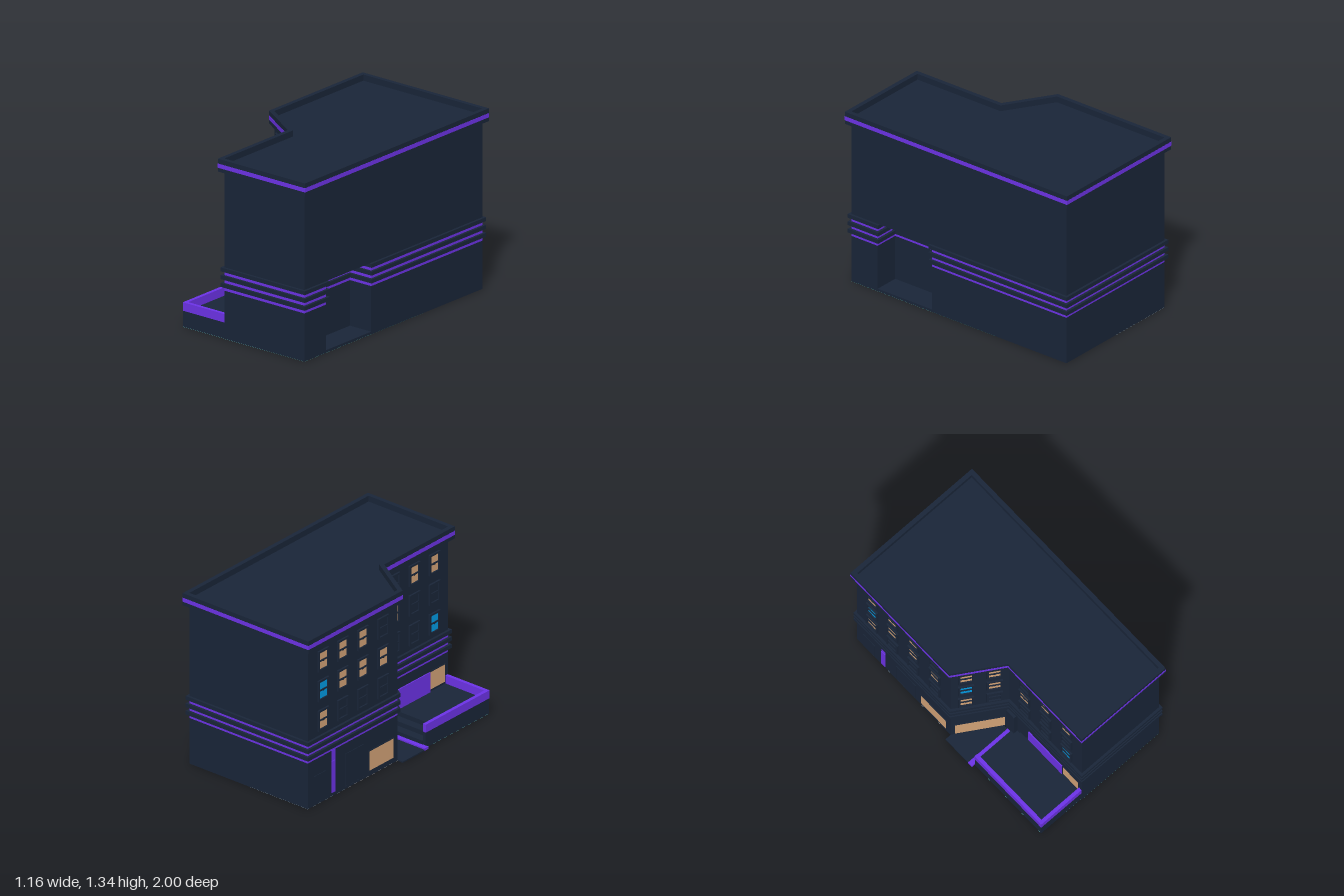
import * as THREE from 'three';

const flat = (name, color) => Object.assign(new THREE.MeshStandardMaterial({ color }), { name });
const M = {
  wall: flat('slate wall', 0x192538),
  purple: flat('purple trim', 0x6c32e6),
  lit: flat('lit window', 0xd2a276),
  blue: flat('blue window', 0x009ae2),
  teal: flat('teal underside', 0x6de8e6),
  moss: flat('grey green underside', 0x4faa9e),
  green: flat('dark green underside', 0x246260),
  stone: flat('pale grey underside', 0xf0e9e3),
  slate: flat('blue grey underside', 0x99b4c3),
};

// Plan outlines as [x, z]; the front right corner is notched by a slanted wall
const NOTCH = [[-0.177, 0.965], [-0.177, 0.22], [-0.53, 0]];
const UPPER = [[-0.53, -0.965], [0.547, -0.965], [0.547, 0.965], ...NOTCH];
const LOWER = [[-0.53, -0.965], [0.547, -0.965], [0.547, 0.24], [0.355, 0.24],
  [0.355, 0.73], [0.547, 0.73], [0.547, 0.965], ...NOTCH];
const BASE = 0.001; // thickness of the coloured underside

// Push every side of an outline outward by d
function offset(poly, d) {
  const n = poly.length;
  const normal = (s, e) => {
    const l = Math.hypot(e[0] - s[0], e[1] - s[1]);
    return [(e[1] - s[1]) / l, -(e[0] - s[0]) / l];
  };
  return poly.map((p, i) => {
    const n1 = normal(poly[(i + n - 1) % n], p), n2 = normal(p, poly[(i + 1) % n]);
    const k = d / (1 + n1[0] * n2[0] + n1[1] * n2[1]);
    return [p[0] + (n1[0] + n2[0]) * k, p[1] + (n1[1] + n2[1]) * k];
  });
}

function mesh(parent, name, geometry, material) {
  const m = new THREE.Mesh(geometry, material);
  m.name = name;
  parent.add(m);
  return m;
}

// Vertical prism from a plan outline, with an optional hole
function prism(parent, name, material, poly, y0, y1, hole) {
  const pts = (p) => p.map(([x, z]) => new THREE.Vector2(x, -z));
  const shape = new THREE.Shape(pts(poly));
  if (hole) shape.holes.push(new THREE.Path(pts(hole).reverse()));
  const g = new THREE.ExtrudeGeometry(shape, { depth: y1 - y0, bevelEnabled: false });
  g.rotateX(-Math.PI / 2).translate(0, y0, 0);
  return mesh(parent, name, g, material);
}

// Box given by its limits
function box(parent, name, material, x0, x1, y0, y1, z0, z1) {
  const m = mesh(parent, name, new THREE.BoxGeometry(x1 - x0, y1 - y0, z1 - z0), material);
  m.position.set((x0 + x1) / 2, (y0 + y1) / 2, (z0 + z1) / 2);
  return m;
}

// Framed opening facing local +z, centred on its origin
function framed(parent, name, w, h, border, depth, glass, sash) {
  const g = new THREE.Group();
  g.name = name;
  const a = w / 2 - border, b = h / 2 - border;
  const rect = (P, u, v) => new P([[-u, -v], [u, -v], [u, v], [-u, v]].map((p) => new THREE.Vector2(...p)));
  const shape = rect(THREE.Shape, w / 2, h / 2);
  shape.holes.push(rect(THREE.Path, a, b));
  mesh(g, 'frame', new THREE.ExtrudeGeometry(shape, { depth, bevelEnabled: false }), M.wall);
  box(g, 'pane', glass, -a, a, -b, b, 0, 0.003);
  if (sash) {
    box(g, 'sashBar', M.wall, -a, a, -0.005, 0.005, 0.002, 0.011);
    box(g, 'sashLatch', M.wall, -0.008, 0.008, -0.01, -0.005, 0.002, 0.011);
  }
  parent.add(g);
  return g;
}

export function createModel() {
  const root = new THREE.Group();
  root.name = 'building';

  // Ground floor and main block
  prism(root, 'groundFloor', M.wall, LOWER, BASE, 0.357);
  prism(root, 'upperFloors', M.wall, UPPER, 0.53, 1.29);
  box(root, 'recessFloor', M.wall, 0.35, 0.547, BASE, 0.02, 0.235, 0.735);

  // Alternating purple strips and projecting ledges
  const step = (0.53 - 0.357) / 6;
  for (let i = 0; i < 6; i++) {
    const y = 0.357 + i * step;
    if (i % 2) prism(root, 'ledge', M.wall, offset(LOWER, 0.019), y, y + step);
    else prism(root, 'purpleStrip', M.purple, LOWER, y, y + step);
  }

  // Cornice rising above the roof as a parapet, striped on the outside only
  const eave = offset(UPPER, 0.033);
  prism(root, 'cornice', M.wall, eave, 1.24, 1.335, UPPER);
  prism(root, 'corniceStripe', M.purple, offset(UPPER, 0.0345), 1.269, 1.3, eave);

  // Upper windows: rows from top to bottom, L lit, B blue, D dark
  const glass = { L: M.lit, B: M.blue, D: M.wall };
  const rowY = [1.112, 0.881, 0.648];
  const side = -Math.PI / 2, slant = Math.atan2(-0.22, 0.353);
  const onSlant = (x) => [x, 0.22 * (x + 0.53) / 0.353];
  const walls = [
    { turn: slant, at: [onSlant(-0.439), onSlant(-0.267)], rows: ['LL', 'BL', 'LD'] },
    { turn: side, at: [-0.805, -0.595, -0.38, -0.16].map((z) => [-0.53, z]), rows: ['LLLD', 'BLLL', 'LDDD'] },
    { turn: side, at: [0.38, 0.595, 0.81].map((z) => [-0.177, z]), rows: ['DLL', 'LDD', 'DDB'] },
  ];
  for (const { turn, at, rows } of walls) {
    rows.forEach((row, r) => at.forEach(([x, z], c) => {
      const w = framed(root, 'window', 0.114, 0.16, 0.0145, 0.014, glass[row[c]], true);
      w.position.set(x, rowY[r], z);
      w.rotation.y = turn;
    }));
  }

  // Street level openings: [name, x, y, z, width, height, turn, pane]
  const mid = onSlant(-0.355);
  for (const [name, x, y, z, w, h, turn, pane] of [
    ['shopWindow', -0.53, 0.118, -0.175, 0.27, 0.165, side, M.lit],
    ['door', -0.53, 0.145, -0.46, 0.2, 0.26, side, M.wall],
    ['serviceDoor', -0.53, 0.12, -0.84, 0.12, 0.22, side, M.wall],
    ['slantWindow', mid[0], 0.108, mid[1], 0.37, 0.18, slant, M.lit],
    ['terraceWindow', -0.177, 0.205, 0.85, 0.17, 0.15, side, M.lit],
  ]) {
    const o = framed(root, name, w, h, 0.007, 0.004, pane, false);
    o.position.set(x, y, z);
    o.rotation.y = turn;
  }
  box(root, 'purplePost', M.purple, -0.537, -0.53, 0.03, 0.277, -0.712, -0.672);
  box(root, 'purplePostTop', M.purple, -0.533, -0.53, 0.277, 0.357, -0.712, -0.672);
  box(root, 'purplePanel', M.purple, -0.185, -0.177, 0.12, 0.275, 0.42, 0.765);
  box(root, 'cornerPilaster', M.wall, -0.21, -0.177, 0.01, 0.357, 0.22, 0.3);

  // Raised terrace with steps and purple parapet
  box(root, 'terraceDeck', M.wall, -0.53, -0.177, BASE, 0.12, 0.4, 0.935);
  box(root, 'upperStep', M.wall, -0.53, -0.177, BASE, 0.085, 0.335, 0.4);
  box(root, 'lowerStep', M.wall, -0.53, -0.177, BASE, 0.05, 0.27, 0.335);
  box(root, 'terraceSideWall', M.wall, -0.555, -0.53, BASE, 0.12, 0.275, 0.96);
  box(root, 'terraceFrontWall', M.wall, -0.53, -0.177, BASE, 0.12, 0.935, 0.96);
  box(root, 'sideParapet', M.purple, -0.557, -0.53, 0.12, 0.182, 0.275, 0.962);
  box(root, 'frontParapet', M.purple, -0.53, -0.176, 0.12, 0.182, 0.935, 0.962);

  // Low entrance slab with a raised purple edge
  prism(root, 'entranceSlab', M.wall, [[-0.58, 0], [-0.53, 0], [-0.21, 0.2], [-0.21, 0.272], [-0.58, 0.272]], 0, 0.01);
  box(root, 'entranceEdge', M.purple, -0.581, -0.21, 0.002, 0.021, 0.235, 0.274);

  // Coloured areas on the underside
  const under = (name, mat, poly) => prism(root, name, mat, poly, 0, BASE);
  under('undersideGreen', M.green, [[0.2, -0.33], [0.547, -0.33], [0.547, 0.25], [0.2, 0.25]]);
  under('undersideMoss', M.moss, [[0.2, 0.25], [0.547, 0.25], [0.547, 0.965], [0.2, 0.965]]);
  under('undersideTeal', M.teal, [[0.2, 0.25], [0.2, 0.965], [-0.177, 0.965], [-0.177, 0.96],
    [-0.555, 0.96], [-0.555, 0.275], [-0.177, 0.275], [0.04, 0.1]]);
  under('undersideStone', M.stone, [[0, -0.52], [0, -0.33], [0.2, -0.33], [0.2, 0.25], [0.04, 0.1],
    [-0.177, 0.275], [-0.177, 0.22], [-0.53, 0], [-0.53, -0.52]]);
  under('undersideSlate', M.slate, [[-0.53, -0.965], [0, -0.965], [0, -0.52], [-0.53, -0.52]]);
  under('undersideDark', M.wall, [[0, -0.965], [0.547, -0.965], [0.547, -0.33], [0, -0.33]]);

  return root;
}
